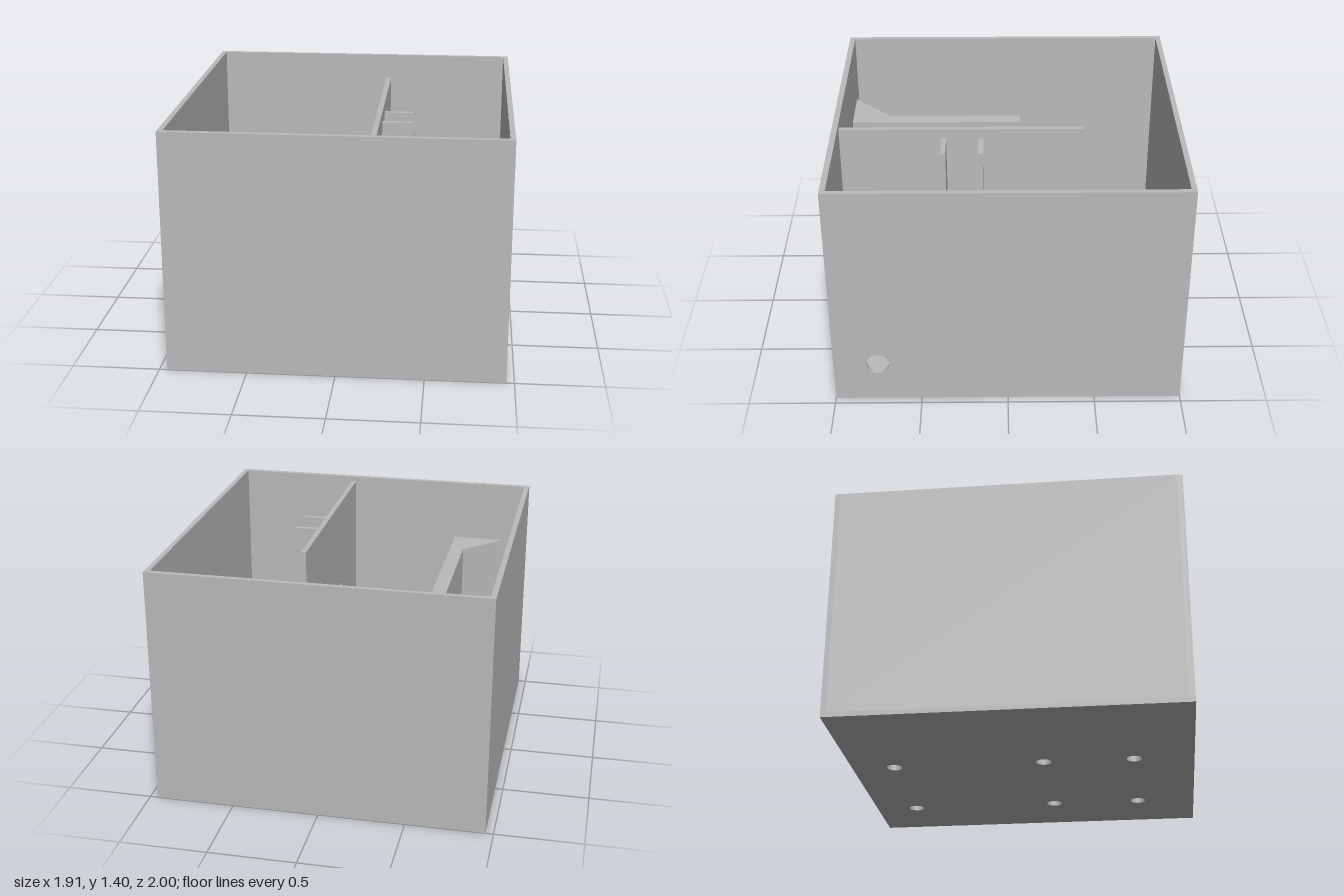
import * as THREE from 'three';

const grey = new THREE.MeshStandardMaterial({ color: 0xbababa });
grey.name = 'plain grey';

// Closed outline with optional round holes given as [x, y, radius]
function outline(points, holes = []) {
  const shape = new THREE.Shape(points.map(([x, y]) => new THREE.Vector2(x, y)));
  for (const [x, y, r] of holes) {
    const hole = new THREE.Path();
    hole.absarc(x, y, r, 0, Math.PI * 2, true);
    shape.holes.push(hole);
  }
  return shape;
}

const rect = (a0, b0, a1, b1) => [[a0, b0], [a1, b0], [a1, b1], [a0, b1]];

const extrude = (shape, depth) =>
  new THREE.ExtrudeGeometry(shape, { depth, bevelEnabled: false, curveSegments: 24 });

// Outline in (x, z), filling y0..y1
const flatPart = (shape, y0, y1) =>
  extrude(shape, y1 - y0).rotateX(Math.PI / 2).translate(0, y1, 0);

// Outline in (z, y), filling x0..x1
const sidePart = (shape, x0, x1) =>
  extrude(shape, x1 - x0).rotateY(-Math.PI / 2).translate(x1, 0, 0);

function block(x0, x1, y0, y1, z0, z1) {
  return new THREE.BoxGeometry(x1 - x0, y1 - y0, z1 - z0)
    .translate((x0 + x1) / 2, (y0 + y1) / 2, (z0 + z1) / 2);
}

export function createModel() {
  const group = new THREE.Group();
  group.name = 'openBox';
  const add = (name, geometry) => {
    const mesh = new THREE.Mesh(geometry, grey);
    mesh.name = name;
    group.add(mesh);
  };

  const X = 0.955, H = 1.4, floorTop = 0.03;
  const inX = 0.925, backZ = -0.97, frontZ = 0.967;

  // Floor with two rows of screw holes
  const floorHoles = [];
  for (const x of [-0.16, 0.575])
    for (const z of [-0.75, 0.13, 0.655]) floorHoles.push([x, z, 0.045]);
  add('floor', flatPart(outline(rect(-X, -1, X, 1), floorHoles), 0, floorTop));

  // Outer walls, the right one with a cable hole
  add('frontWall', block(-X, X, floorTop, H, frontZ, 1));
  add('backWall', block(-X, X, floorTop, H, -1, backZ));
  add('leftHandWall', block(-X, -inX, floorTop, H, backZ, frontZ));
  add('cableHoleWall', sidePart(
    outline(rect(backZ, floorTop, frontZ, H), [[0.745, 0.25, 0.066]]), inX, X));

  // Sloped ridge along the floor
  const ridge = outline([[-0.065, floorTop], [0.462, floorTop], [0.198, 0.293]]);
  add('floorRidge', extrude(ridge, frontZ - backZ).translate(0, 0, backZ));

  // Tall divider with a large and a small hole
  add('divider', sidePart(outline(rect(-0.44, floorTop, frontZ, 1.37),
    [[0.335, 0.67, 0.11], [0.476, 0.806, 0.037]]), 0.185, 0.215));

  // Pair of upright fins beside the divider
  for (const z of [0.135, 0.35])
    add('fin', block(0.215, 0.39, floorTop, 1.31, z, z + 0.03));

  // Lower partition, splayed where it meets the front wall
  add('partition', flatPart(outline([[-0.57, -0.09], [-0.485, -0.09],
    [-0.485, frontZ], [-0.802, frontZ], [-0.57, 0.735]]), floorTop, 1.03));

  return group;
}
